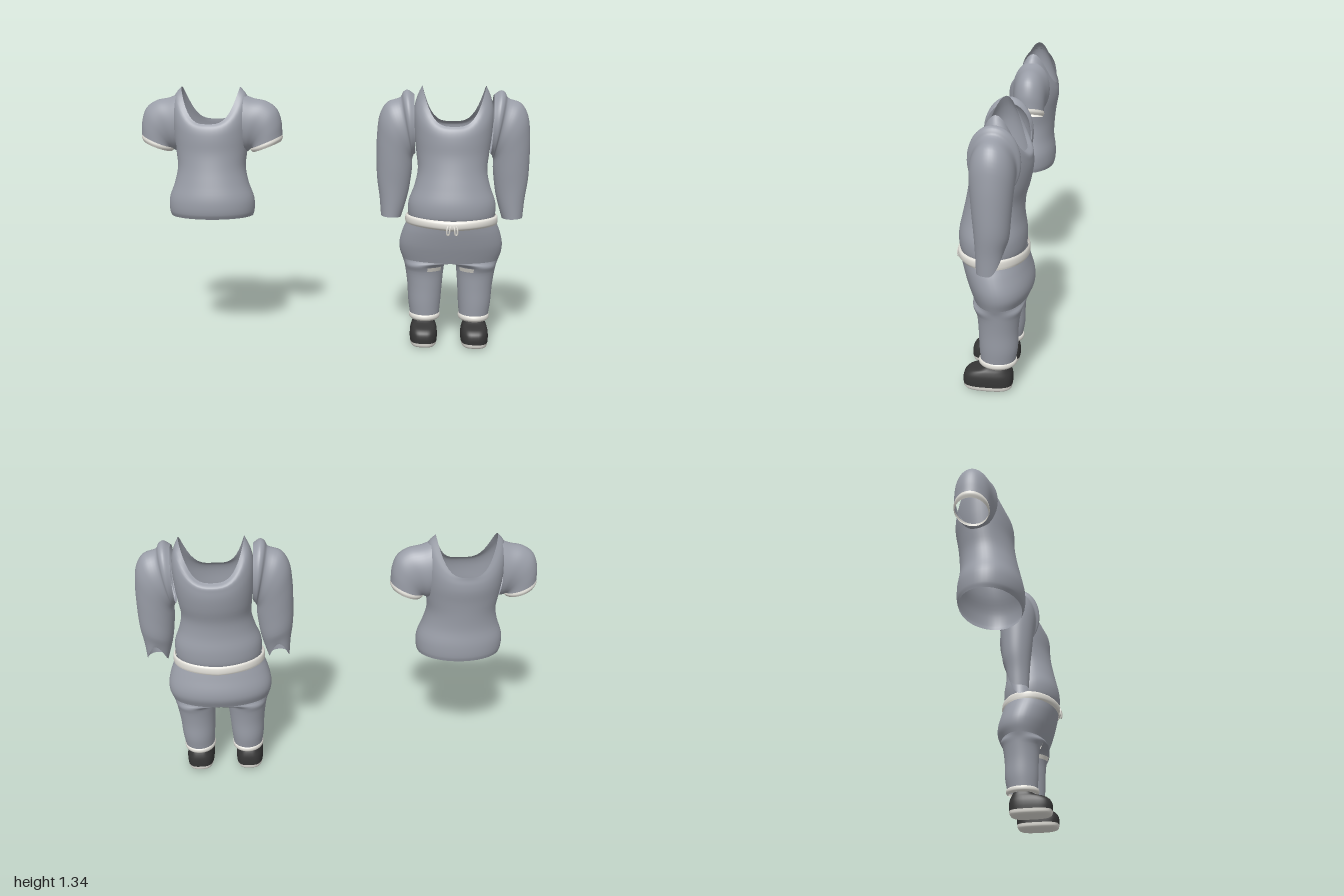
import * as THREE from 'three';

const SEG = 48;
const mat = (name, color) => {
  const m = new THREE.MeshStandardMaterial({ color, side: THREE.DoubleSide });
  m.name = name;
  return m;
};

// Horizontal ring: half width, front z, back z, height at front; y1 = height at the sides
function ring(hw, front, back, y, { y1 = y, p = 3, c = 0, e = 1 } = {}) {
  const pts = [];
  for (let j = 0; j < SEG; j++) {
    const a = (j / SEG) * Math.PI * 2, co = Math.cos(a), si = Math.sin(a);
    const x = c + hw * Math.sign(co) * Math.abs(co) ** e;
    const z = (front + back) / 2 + ((front - back) / 2) * Math.sign(si) * Math.abs(si) ** e;
    pts.push(new THREE.Vector3(x, y + (y1 - y) * Math.abs(co) ** p, z));
  }
  return pts;
}

// Sleeve ring spanned by an outer and an inner point in the xy plane; lift raises its back edge
function sleeveRing([ox, oy, ix, iy, zh, zc = -0.025, lift = 0]) {
  const pts = [];
  for (let j = 0; j < SEG; j++) {
    const a = (j / SEG) * Math.PI * 2, t = (1 + Math.cos(a)) / 2, s = Math.sin(a);
    pts.push(new THREE.Vector3(ix + (ox - ix) * t,
      iy + (oy - iy) * t + lift * Math.max(0, -s) ** 2, zc + zh * s));
  }
  return pts;
}

// Smooth skin through rings; j0..j1 picks a part of the way round
function loft(rings, sub = 4, j0 = 0, j1 = SEG) {
  const rows = (rings.length - 1) * sub, closed = j1 - j0 === SEG;
  const cols = closed ? SEG : j1 - j0 + 1;
  const pos = [], idx = [];
  const curves = [];
  for (let j = 0; j < cols; j++)
    curves.push(new THREE.CatmullRomCurve3(rings.map(r => r[(j0 + j) % SEG]), false, 'centripetal'));
  for (let i = 0; i <= rows; i++)
    for (const c of curves) pos.push(...c.getPoint(i / rows).toArray());
  for (let i = 0; i < rows; i++)
    for (let j = 0; j < (closed ? cols : cols - 1); j++) {
      const k = (j + 1) % cols, a = i * cols + j, b = i * cols + k, c = a + cols, d = b + cols;
      idx.push(a, c, b, b, c, d);
    }
  const g = new THREE.BufferGeometry();
  g.setAttribute('position', new THREE.Float32BufferAttribute(pos, 3));
  g.setIndex(idx);
  g.computeVertexNormals();
  return g;
}

export function createModel() {
  const fabric = mat('grey fabric', 0x9a9ea8);
  const trim = mat('off-white trim', 0xe4e2db);
  const dark = mat('dark shoe', 0x363636);
  const model = new THREE.Group();

  const add = (parent, name, geo, m) => {
    const mesh = new THREE.Mesh(geo, m);
    mesh.name = name;
    parent.add(mesh);
    return mesh;
  };
  const pair = (parent, name, geo, m) => {
    add(parent, 'left ' + name, geo, m);
    add(parent, 'right ' + name, geo, m).scale.x = -1;
  };

  // Shirt body with a saddle-shaped neckline
  const body = (back, neckW, neckY, neckBack) => loft([
    ring(0.214, 0.156, -0.135, 0.67),
    ring(0.221, 0.168, -0.142, 0.695),
    ring(0.22, 0.17, -0.143, 0.76),
    ring(0.192, 0.153, -0.133, 0.84),
    ring(0.176, 0.135, -0.136, 0.92),
    ring(0.184, 0.122, back + 0.012, 1.0),
    ring(0.196, 0.12, back, 1.07, { y1: 1.1 }),
    ring(0.2, 0.115, back, 1.11, { y1: 1.22 }),
    ring(0.185, 0.106, back + 0.004, 1.135, { y1: 1.29 }),
    ring(neckW, 0.092, neckBack, 1.15, { y1: neckY, p: 3.4 }),
  ]);

  // Short-sleeved shirt
  const tee = new THREE.Group();
  tee.name = 'short sleeved shirt';
  tee.position.x = -0.635;
  model.add(tee);
  add(tee, 'shirt body', body(-0.157, 0.152, 1.33, -0.152), fabric);
  const cuffTop = [0.366, 1.085, 0.2, 1.015, 0.081];
  pair(tee, 'short sleeve', loft([
    [0.175, 1.29, 0.175, 1.0, 0.1],
    [0.22, 1.272, 0.185, 1.0, 0.096],
    [0.285, 1.258, 0.19, 1.0, 0.088],
    [0.338, 1.22, 0.195, 1.005, 0.084],
    [0.362, 1.155, 0.198, 1.01, 0.082],
    cuffTop,
  ].map(sleeveRing)), fabric);
  pair(tee, 'sleeve cuff', loft([
    cuffTop, [0.368, 1.07, 0.202, 1.005, 0.083], [0.36, 1.052, 0.212, 0.995, 0.077],
  ].map(sleeveRing)), trim);

  // Full outfit
  const outfit = new THREE.Group();
  outfit.name = 'full outfit';
  outfit.position.x = 0.605;
  model.add(outfit);
  add(outfit, 'top body', body(-0.17, 0.16, 1.345, -0.14), fabric);
  pair(outfit, 'long sleeve', loft([
    [0.2, 1.3, 0.19, 1.0, 0.112],
    [0.235, 1.322, 0.2, 0.99, 0.118],
    [0.255, 1.312, 0.2, 0.985, 0.114],
    [0.27, 1.285, 0.203, 0.98, 0.1],
    [0.335, 1.26, 0.205, 0.97, 0.1],
    [0.372, 1.2, 0.205, 0.96, 0.098],
    [0.386, 1.1, 0.205, 0.93, 0.092],
    [0.388, 0.98, 0.21, 0.88, 0.085],
    [0.384, 0.87, 0.222, 0.8, 0.076, -0.025],
    [0.37, 0.77, 0.24, 0.73, 0.066, -0.02, 0.04],
    [0.362, 0.675, 0.258, 0.67, 0.06, -0.018, 0.095],
  ].map(sleeveRing)), fabric);

  // Waistband and drawstrings
  add(outfit, 'waistband', loft([
    ring(0.234, 0.163, -0.15, 0.634, { y1: 0.648, p: 1 }),
    ring(0.236, 0.175, -0.155, 0.645, { y1: 0.66, p: 1 }),
    ring(0.234, 0.176, -0.154, 0.672, { y1: 0.685, p: 1 }),
    ring(0.226, 0.166, -0.148, 0.684, { y1: 0.692, p: 1 }),
  ]), trim);
  for (const s of [-1, 1]) {
    const path = new THREE.CatmullRomCurve3([[0.008, 0.665, 0.172], [0.012, 0.645, 0.181],
      [0.017, 0.618, 0.176], [0.024, 0.618, 0.176], [0.026, 0.645, 0.18], [0.02, 0.665, 0.172],
    ].map(([x, y, z]) => new THREE.Vector3(x * s, y, z)));
    add(outfit, 'drawstring', new THREE.TubeGeometry(path, 20, 0.0045, 6), trim);
  }

  // Trousers: hips, then two legs that share the last hip ring
  const seat = ring(0.247, 0.104, -0.158, 0.45);
  add(outfit, 'trouser hips', loft([
    ring(0.23, 0.163, -0.148, 0.65),
    ring(0.248, 0.153, -0.16, 0.605),
    ring(0.264, 0.135, -0.177, 0.54),
    ring(0.262, 0.12, -0.177, 0.495),
    seat,
  ]), fabric);
  const legTop = seat.map(v => new THREE.Vector3(Math.max(0, v.x), v.y, v.z));
  pair(outfit, 'trouser leg', loft([
    legTop,
    ring(0.106, 0.088, -0.14, 0.425, { c: 0.132 }),
    ring(0.099, 0.073, -0.13, 0.39, { c: 0.132 }),
    ring(0.09, 0.066, -0.12, 0.31, { c: 0.13 }),
    ring(0.084, 0.063, -0.118, 0.22, { c: 0.13 }),
    ring(0.076, 0.058, -0.106, 0.15, { c: 0.128 }),
  ]), fabric);
  pair(outfit, 'knee rip', loft([
    ring(0.108, 0.09, -0.138, 0.42, { c: 0.132 }),
    ring(0.103, 0.08, -0.134, 0.398, { c: 0.132 }),
  ], 4, 13, 19), trim);
  pair(outfit, 'ankle cuff', loft([
    ring(0.074, 0.056, -0.1, 0.16, { c: 0.128 }),
    ring(0.08, 0.066, -0.112, 0.152, { c: 0.128 }),
    ring(0.08, 0.066, -0.112, 0.136, { c: 0.128 }),
    ring(0.07, 0.052, -0.1, 0.125, { c: 0.128 }),
  ]), trim);

  // Shoes with pale soles and insoles
  const shoe = (hw, f, b, y) => ring(hw, f, b, y, { c: 0.132, e: 0.65 });
  pair(outfit, 'shoe sole', loft([
    shoe(0, 0.02, 0.02, 0.003), shoe(0.055, 0.115, -0.075, 0.003),
    shoe(0.066, 0.134, -0.09, 0.012), shoe(0.07, 0.139, -0.094, 0.03),
  ]), trim);
  pair(outfit, 'shoe upper', loft([
    shoe(0.07, 0.139, -0.094, 0.03), shoe(0.071, 0.14, -0.095, 0.055),
    shoe(0.069, 0.134, -0.093, 0.08), shoe(0.063, 0.112, -0.087, 0.1),
    shoe(0.056, 0.06, -0.08, 0.115), shoe(0.05, 0.035, -0.072, 0.13),
  ]), dark);
  pair(outfit, 'insole', loft([
    shoe(0, -0.02, -0.02, 0.112), shoe(0.053, 0.04, -0.076, 0.112),
  ], 1), trim);

  return model;
}
